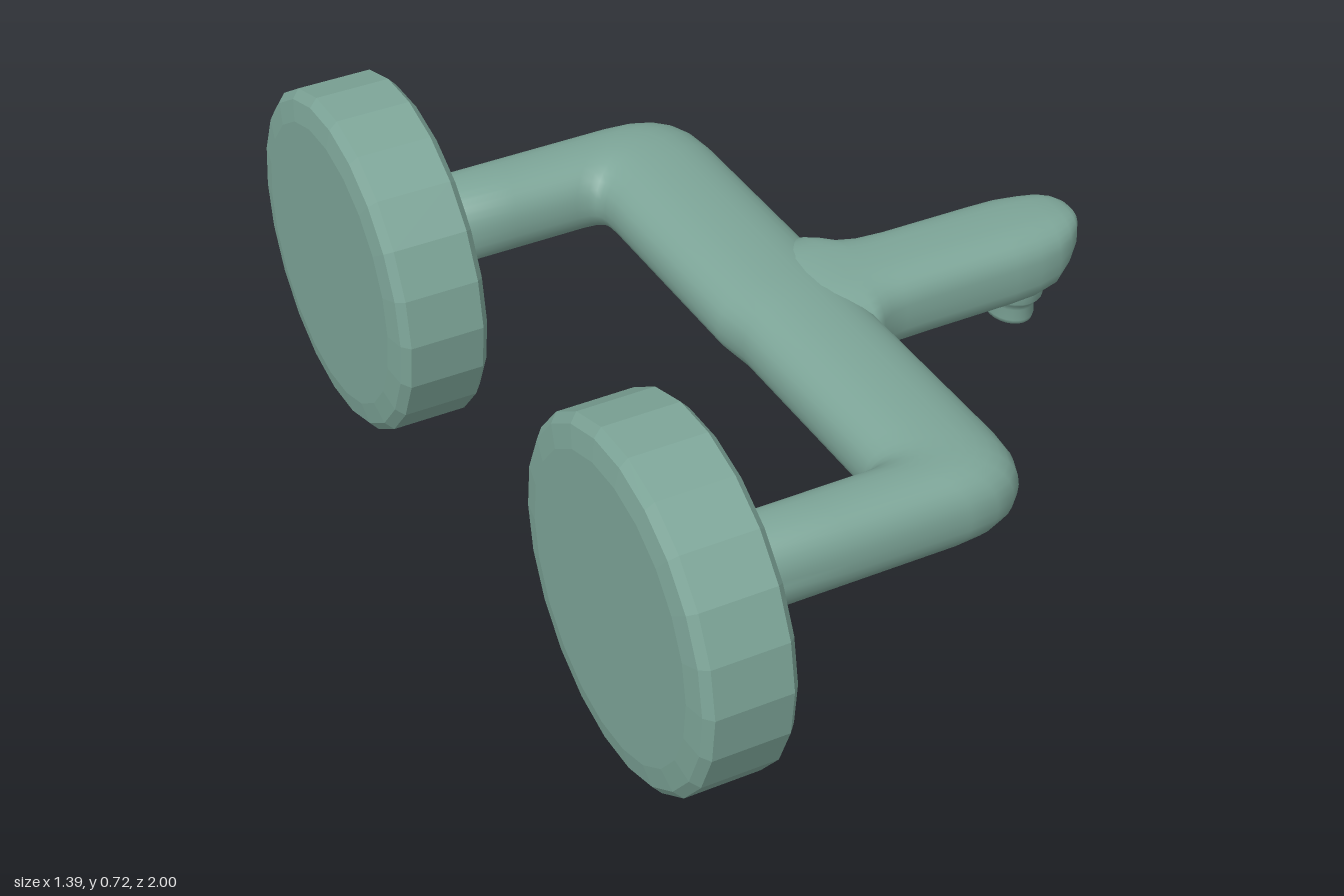
import * as THREE from 'three';

const SIDES = 32;
const MID_Y = 0.367;
const HALF_H = 0.088;

// Skin a series of rings: { c: centre, u: half-width vector, h: half-height }.
function loft(rings, power) {
  const pos = [], idx = [];
  const curve = (v) => Math.sign(v) * Math.abs(v) ** (2 / power);
  rings.forEach(({ c, u, h }) => {
    for (let j = 0; j < SIDES; j++) {
      const t = (j / SIDES) * Math.PI * 2;
      const a = curve(Math.cos(t)), b = curve(Math.sin(t));
      pos.push(c.x + u.x * a, c.y + h * b, c.z + u.z * a);
    }
  });
  for (let i = 0; i < rings.length - 1; i++) {
    for (let j = 0; j < SIDES; j++) {
      const k = (j + 1) % SIDES;
      const a = i * SIDES + j, b = i * SIDES + k;
      idx.push(a, b, b + SIDES, a, b + SIDES, a + SIDES);
    }
  }
  // End caps
  const last = (rings.length - 1) * SIDES;
  for (let j = 1; j < SIDES - 1; j++) {
    idx.push(0, j + 1, j, last, last + j, last + j + 1);
  }
  const geo = new THREE.BufferGeometry();
  geo.setAttribute('position', new THREE.Float32BufferAttribute(pos, 3));
  geo.setIndex(idx);
  geo.computeVertexNormals();
  return geo;
}

// Half of the bent pipe: arm, elbow and cross pipe, between an inner and an outer edge.
function halfPipe(side, inX, outX, inZ, outZ) {
  const edges = [
    [-0.5, inZ, -0.5, outZ],
    [-0.3, inZ, -0.25, outZ],
    [inX - 0.05, inZ, outX - 0.16, outZ],
    [inX - 0.025, inZ - 0.003, outX - 0.1, outZ - 0.006],
    [inX - 0.012, inZ - 0.01, outX - 0.055, outZ - 0.025],
    [inX - 0.005, inZ - 0.02, outX - 0.025, outZ - 0.055],
    [inX - 0.002, inZ - 0.035, outX - 0.007, outZ - 0.1],
    [inX, inZ - 0.07, outX, outZ - 0.17],
    [inX, 0.3, outX, 0.3],
    [inX, 0.04, outX, 0.04],
  ];
  return edges.map(([ix, iz, ox, oz]) => ({
    c: new THREE.Vector3((ix + ox) / 2, MID_Y, (side * (iz + oz)) / 2),
    u: new THREE.Vector3((ox - ix) / 2, 0, (side * (oz - iz)) / 2),
    h: HALF_H,
  }));
}

// Spout rings: x, back z, front z, bottom y, top y
function spoutRings() {
  return [
    [0.05, -0.2, 0.15, 0.285, 0.45],
    [0.15, -0.2, 0.145, 0.281, 0.454],
    [0.175, -0.18, 0.13, 0.28, 0.455],
    [0.2, -0.15, 0.113, 0.28, 0.455],
    [0.24, -0.132, 0.106, 0.28, 0.455],
    [0.3, -0.125, 0.104, 0.28, 0.455],
    [0.5, -0.122, 0.104, 0.28, 0.455],
    [0.56, -0.12, 0.102, 0.282, 0.454],
    [0.61, -0.108, 0.094, 0.293, 0.452],
    [0.645, -0.092, 0.078, 0.325, 0.449],
    [0.67, -0.072, 0.058, 0.355, 0.443],
    [0.686, -0.048, 0.034, 0.383, 0.435],
    [0.694, -0.02, 0.008, 0.405, 0.424],
  ].map(([x, z0, z1, y0, y1]) => ({
    c: new THREE.Vector3(x, (y0 + y1) / 2, (z0 + z1) / 2),
    u: new THREE.Vector3(0, 0, (z0 - z1) / 2),
    h: (y1 - y0) / 2,
  }));
}

const lathe = (points, sides) =>
  new THREE.LatheGeometry(points.map(([r, y]) => new THREE.Vector2(r, y)), sides);

export function createModel() {
  const group = new THREE.Group();
  const sage = new THREE.MeshStandardMaterial({ color: 0x7da598 });
  sage.name = 'sage green';

  const add = (name, geo) => {
    const mesh = new THREE.Mesh(geo, sage);
    mesh.name = name;
    group.add(mesh);
    return mesh;
  };

  // Bent pipe running from the back arm, through the cross pipe, to the front arm
  const back = halfPipe(-1, -0.112, 0.176, 0.57, 0.762);
  const front = halfPipe(1, -0.1, 0.166, 0.558, 0.735).reverse();
  add('pipe', loft([...back, ...front], 2.3));

  // Spout with a flared root and an undercut tip
  add('spout', loft(spoutRings(), 2.8));

  // Oval outlet under the spout tip
  const outlet = add('outlet', lathe([
    [0, 0.217], [0.034, 0.217], [0.044, 0.222], [0.047, 0.232],
    [0.047, 0.258], [0.052, 0.271], [0.062, 0.284], [0.062, 0.32],
  ], 24));
  outlet.scale.z = 1.35;
  outlet.position.set(0.551, 0, -0.005);

  // Faceted wall discs
  const discGeo = lathe([
    [0, -0.102], [0.3, -0.102], [0.345, -0.094], [0.363, -0.078],
    [0.363, 0.078], [0.345, 0.094], [0.3, 0.102], [0, 0.102],
  ], 22).toNonIndexed();
  discGeo.rotateZ(-Math.PI / 2);
  discGeo.computeVertexNormals();
  for (const side of [-1, 1]) {
    const disc = add(side < 0 ? 'backDisc' : 'frontDisc', discGeo);
    disc.position.set(-0.593, 0.366, side * 0.636);
  }

  return group;
}
